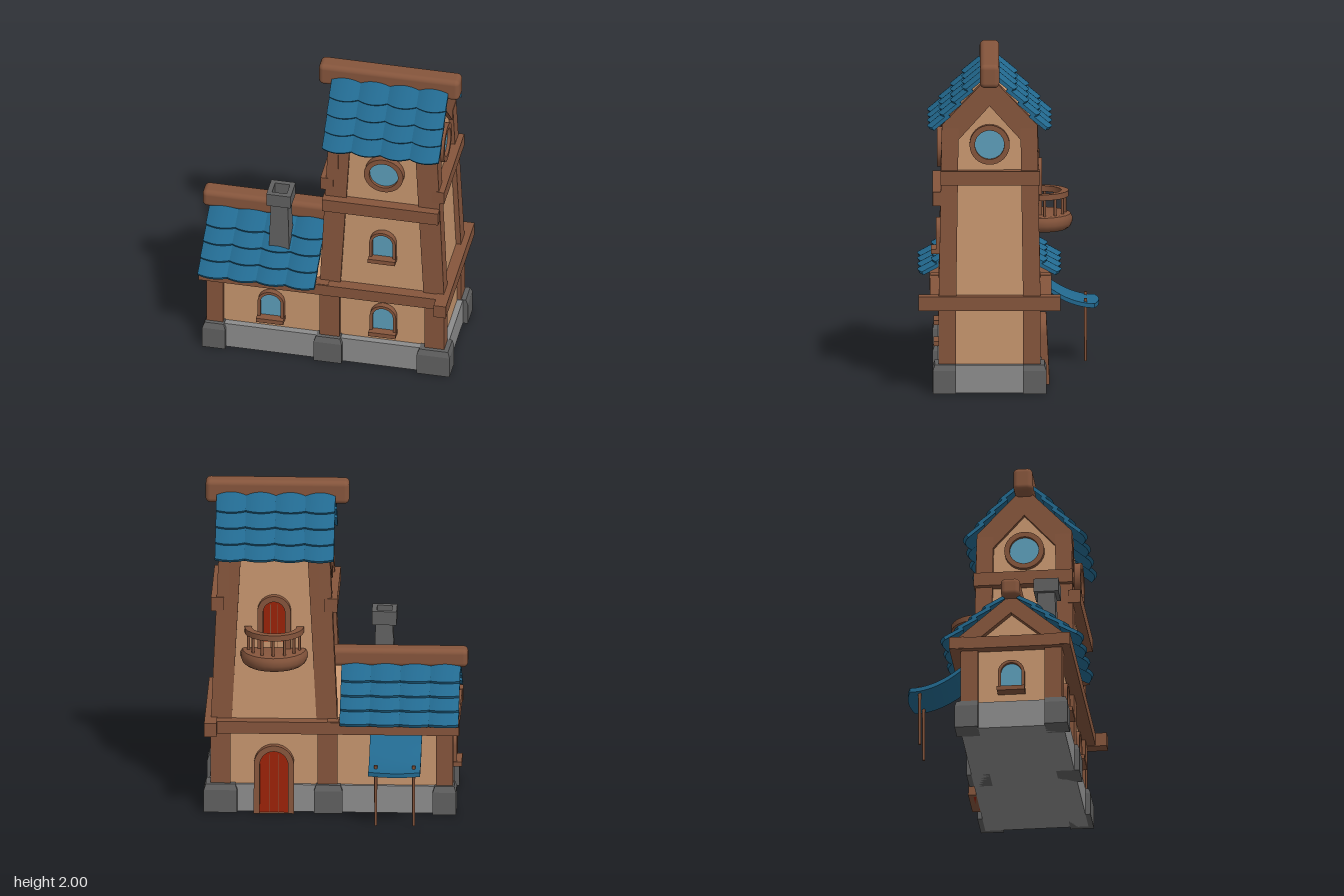
import * as THREE from 'three';
import { toCreasedNormals } from 'three/addons/utils/BufferGeometryUtils.js';
import { RoundedBoxGeometry } from 'three/addons/geometries/RoundedBoxGeometry.js';

const material = (name, color, side = THREE.FrontSide) => {
  const m = new THREE.MeshStandardMaterial({ color, side });
  m.name = name;
  return m;
};

export function createModel() {
  const wood = material('wood', 0x85553c);
  const plaster = material('plaster', 0xc6956e);
  const slate = material('blue tile', 0x22698f);
  const glass = material('glass', 0x5c9db8);
  const paleStone = material('pale stone', 0x8c8c8c);
  const darkStone = material('dark stone', 0x606060);
  const red = material('red door', 0x992208);

  const model = new THREE.Group();
  model.name = 'house';
  const ZC = 0.115; // ridge line of both buildings
  const TX = 0.36;  // tower centre

  const add = (name, geometry, mat, parent = model) => {
    const mesh = new THREE.Mesh(geometry, mat);
    mesh.name = name;
    parent.add(mesh);
    return mesh;
  };

  // Tapered block between two rectangles [x0, x1, z0, z1]
  const block = (name, mat, a, y0, b, y1, parent) => {
    const g = new THREE.BoxGeometry(1, 1, 1);
    const p = g.attributes.position;
    const lo = (u, v) => Math.min(u, v), hi = (u, v) => Math.max(u, v);
    for (let i = 0; i < p.count; i++) {
      const r = p.getY(i) < 0 ? a : b;
      p.setXYZ(i, (p.getX(i) < 0 ? lo : hi)(r[0], r[1]), p.getY(i) < 0 ? y0 : y1,
        (p.getZ(i) < 0 ? lo : hi)(r[2], r[3]));
    }
    g.computeVertexNormals();
    return add(name, g, mat, parent);
  };
  const beam = (name, x0, x1, y0, y1, z0, z1, mat = wood, parent = model) =>
    block(name, mat, [x0, x1, z0, z1], y0, [x0, x1, z0, z1], y1, parent);

  const extrude = (shape, depth) => toCreasedNormals(new THREE.ExtrudeGeometry(shape,
    { depth, bevelEnabled: false, curveSegments: 16 }), 0.6);
  const polygon = pts => new THREE.Shape(pts.map(p => new THREE.Vector2(...p)));
  const arch = (w, y0, y1) => {
    const s = new THREE.Shape();
    s.moveTo(-w / 2, y0);
    s.lineTo(w / 2, y0);
    s.lineTo(w / 2, y1 - w / 2);
    s.absarc(0, y1 - w / 2, w / 2, 0, Math.PI, false);
    s.lineTo(-w / 2, y0);
    return s;
  };
  const disc = r => new THREE.Shape().absarc(0, 0, r, 0, Math.PI * 2, false);
  const fixture = (name, x, y, z, turn) => {
    const g = new THREE.Group();
    g.name = name;
    g.position.set(x, y, z);
    g.rotation.y = turn;
    model.add(g);
    return g;
  };

  const archWindow = (x, y, z, turn) => {
    const g = fixture('archedWindow', x, y, z, turn);
    const frame = arch(0.16, 0, 0.21);
    frame.holes.push(arch(0.124, 0.02, 0.192));
    add('windowFrame', extrude(frame, 0.04), wood, g);
    add('windowPane', extrude(arch(0.13, 0.01, 0.195), 0.008), glass, g).position.z = 0.012;
    beam('windowSill', -0.083, 0.083, 0, 0.028, 0, 0.07, wood, g);
  };
  const roundWindow = (x, y, z, turn) => {
    const g = fixture('roundWindow', x, y, z, turn);
    const frame = disc(0.12);
    frame.holes.push(disc(0.088));
    add('roundFrame', extrude(frame, 0.05), wood, g);
    add('roundPane', extrude(disc(0.092), 0.008), glass, g).position.z = 0.022;
  };
  const door = (x, y, z, w, h) => {
    const g = fixture('door', x, y, z, Math.PI);
    const frame = arch(w, 0, h);
    frame.holes.push(arch(w - 0.07, 0, h - 0.035));
    add('doorFrame', extrude(frame, 0.06), wood, g);
    add('doorPanel', extrude(arch(w - 0.06, 0, h - 0.03), 0.03), red, g);
    for (const s of [-1, 1]) {
      const dx = s * (w - 0.07) / 6;
      beam('doorGroove', dx - 0.002, dx + 0.002, 0, h - 0.06, 0.029, 0.032, wood, g);
    }
    return g;
  };

  // Stone footing with heavy blocks under the posts
  beam('footing', -0.7, 0.75, 0, 0.17, -0.195, 0.425, paleStone);
  for (const [x0, x1] of [[-0.73, -0.59], [-0.05, 0.12], [0.58, 0.78]])
    for (const s of [-1, 1]) {
      const z0 = ZC + s * 0.2, z1 = ZC + s * 0.34;
      beam('footingBlock', x0, x1, 0, 0.14, z0, z1, darkStone);
      block('footingBlockTop', darkStone, [x0, x1, z0, z1], 0.14,
        [x0 + 0.012, x1 - 0.012, z0, z1 - s * 0.012], 0.175);
    }

  // Ground floor walls and posts
  beam('groundWall', -0.685, 0.715, 0.16, 0.57, -0.175, 0.385, plaster);
  for (const s of [-1, 1])
    for (const [x0, x1] of [[-0.71, -0.61], [-0.02, 0.1], [0.62, 0.74]])
      beam('groundPost', x0, x1, 0.17, 0.52, ZC + s * 0.2, ZC + s * 0.305);

  // Tower walls, leaning posts and gables
  block('towerWall', plaster, [0.01, 0.71, -0.185, 0.405], 0.55, [0.055, 0.665, -0.155, 0.385], 1.58);
  const loft = add('loftWall', extrude(polygon([[-0.27, 1.57], [0.27, 1.57], [0, 1.88]]), 0.61), plaster);
  loft.rotation.y = Math.PI / 2;
  loft.position.set(0.055, 0, ZC);
  const gable = [[0.295, 1.34], [0.285, 1.62], [0, 1.92], [-0.285, 1.62], [-0.295, 1.34],
    [-0.19, 1.34], [-0.185, 1.53], [0, 1.735], [0.185, 1.53], [0.19, 1.34]];
  for (const s of [-1, 1]) {
    for (const t of [-1, 1])
      block('towerPost', wood,
        [TX + s * 0.255, TX + s * 0.38, ZC + t * 0.2, ZC + t * 0.305], 0.55,
        [TX + s * 0.2, TX + s * 0.333, ZC + t * 0.185, ZC + t * 0.285], 1.6);
    const g = add('towerGable', extrude(polygon(gable), 0.06), wood);
    g.rotation.y = Math.PI / 2;
    g.position.set(TX + s * 0.3 - 0.03, 0, ZC);
    beam('towerSideBeam', TX + s * 0.3, TX + s * 0.378, 1.26, 1.345, -0.185, 0.41);
    roundWindow(TX + s * 0.29, 1.5, ZC, s * Math.PI / 2);
  }
  beam('towerFrontBeam', 0, 0.71, 1.13, 1.215, 0.38, 0.455);

  // Beams around the ground floor
  beam('frontBeam', -0.75, 0.72, 0.51, 0.585, 0.39, 0.472);
  beam('backBeam', -0.75, 0.72, 0.51, 0.585, -0.255, -0.165);
  beam('towerEndBeam', 0.7, 0.775, 0.505, 0.59, -0.31, 0.54);
  beam('innerBeam', -0.03, 0.04, 0.512, 0.588, -0.25, 0.468);
  beam('houseEndBeam', -0.745, -0.67, 0.508, 0.583, -0.25, 0.468);

  // Low house gable
  const attic = add('atticWall', extrude(polygon([[-0.3, 0.57], [0.3, 0.57], [0, 0.83]]), 0.7), plaster);
  attic.rotation.y = Math.PI / 2;
  attic.position.set(-0.69, 0, ZC);
  const lowGable = add('houseGable', extrude(polygon([[0.33, 0.58], [0, 0.86], [-0.33, 0.58],
    [-0.19, 0.58], [0, 0.74], [0.19, 0.58]]), 0.05), wood);
  lowGable.rotation.y = Math.PI / 2;
  lowGable.position.set(-0.73, 0, ZC);

  // Tiled roofs: arched tiles in overlapping rows
  const tileShape = (w, len) => {
    const g = new THREE.BoxGeometry(w, 0.022, len, 8, 1, 2).translate(0, 0, len / 2);
    const p = g.attributes.position;
    for (let i = 0; i < p.count; i++) {
      const c = 1 - (2 * p.getX(i) / w) ** 2;
      p.setY(i, p.getY(i) + 0.016 * c);
      p.setZ(i, p.getZ(i) + 0.022 * c * p.getZ(i) / len);
    }
    g.computeVertexNormals();
    return g;
  };
  const roof = (name, xc, ridgeY, ridgeZ, angle) => {
    const w = 0.178, pitch = 0.104, tile = tileShape(w, 0.128);
    for (const turn of [0, Math.PI]) {
      const side = fixture(name, xc, 0, ZC, turn);
      const slope = new THREE.Group();
      slope.name = 'roofSlope';
      slope.position.set(0, ridgeY, ridgeZ);
      slope.rotation.x = angle;
      side.add(slope);
      for (let row = 0; row < 4; row++)
        for (let col = 0; col < 4; col++) {
          const m = add('roofTile', tile, slate, slope);
          m.position.set((col - 1.5) * w, 0, row * pitch);
          m.rotation.x = -0.16;
        }
    }
  };
  roof('towerRoof', 0.358, 1.915, 0.035, 0.85);
  roof('houseRoof', -0.39, 0.835, 0.04, 0.66);
  add('towerRidge', new RoundedBoxGeometry(0.86, 0.143, 0.116, 4, 0.03), wood).position.set(0.35, 1.928, ZC);
  add('houseRidge', new RoundedBoxGeometry(0.84, 0.113, 0.116, 4, 0.03), wood).position.set(-0.37, 0.888, ZC);

  // Chimney with hollow cap
  block('chimney', darkStone, [-0.347, -0.22, 0.222, 0.35], 0.69, [-0.335, -0.232, 0.234, 0.337], 1.06);
  const square = r => polygon([[-r, -r], [r, -r], [r, r], [-r, r]]);
  const cap = square(0.074);
  cap.holes.push(square(0.045));
  const capMesh = add('chimneyCap', extrude(cap, 0.085), darkStone);
  capMesh.rotation.x = -Math.PI / 2;
  capMesh.position.set(-0.284, 1.045, 0.286);

  // Windows and doors
  archWindow(-0.32, 0.23, 0.38, 0);
  archWindow(0.365, 0.23, 0.38, 0);
  archWindow(0.365, 0.79, 0.394, 0);
  archWindow(-0.685, 0.22, ZC, -Math.PI / 2);
  roundWindow(0.372, 1.43, 0.38, 0);
  door(TX, 0, -0.185, 0.24, 0.42).rotation.x = 0.05;
  door(TX, 0.98, -0.14, 0.2, 0.38);

  // Balcony
  const balcony = fixture('balcony', TX, 0, -0.18, 0);
  const halfLathe = pts => toCreasedNormals(new THREE.LatheGeometry(
    pts.map(p => new THREE.Vector2(...p)), 12, Math.PI / 2, Math.PI), 0.6);
  add('balconyFloor', halfLathe([[0, 0.935], [0.17, 0.935], [0.19, 0.95], [0.2, 0.975],
    [0.2, 1.005], [0.19, 1.025], [0.175, 1.03], [0, 1.03]]), wood, balcony);
  add('balconyRail', halfLathe([[0.135, 1.13], [0.178, 1.13], [0.178, 1.165],
    [0.135, 1.165], [0.135, 1.13]]), wood, balcony);
  for (let i = 0; i < 7; i++) {
    const a = Math.PI * (i + 0.5) / 7;
    add('baluster', new THREE.CylinderGeometry(0.009, 0.009, 0.12, 8), wood, balcony)
      .position.set(0.156 * Math.cos(a), 1.08, -0.156 * Math.sin(a));
  }

  // Sagging awning on two poles
  const cloth = new THREE.BoxGeometry(0.31, 0.026, 1, 10, 1, 12);
  const p = cloth.attributes.position;
  for (let i = 0; i < p.count; i++) {
    const t = 0.5 - p.getZ(i), c = 1 - (p.getX(i) / 0.155) ** 2;
    p.setY(i, p.getY(i) + 0.352 + 0.15 * (1 - t) ** 2);
    p.setZ(i, -0.18 - t * (0.335 + 0.025 * c));
  }
  cloth.computeVertexNormals();
  add('awning', cloth, slate).position.x = -0.37;
  for (const x of [-0.485, -0.258])
    add('awningPole', new THREE.CylinderGeometry(0.01, 0.008, 0.38, 8), wood).position.set(x, 0.2, -0.46);

  return model;
}
